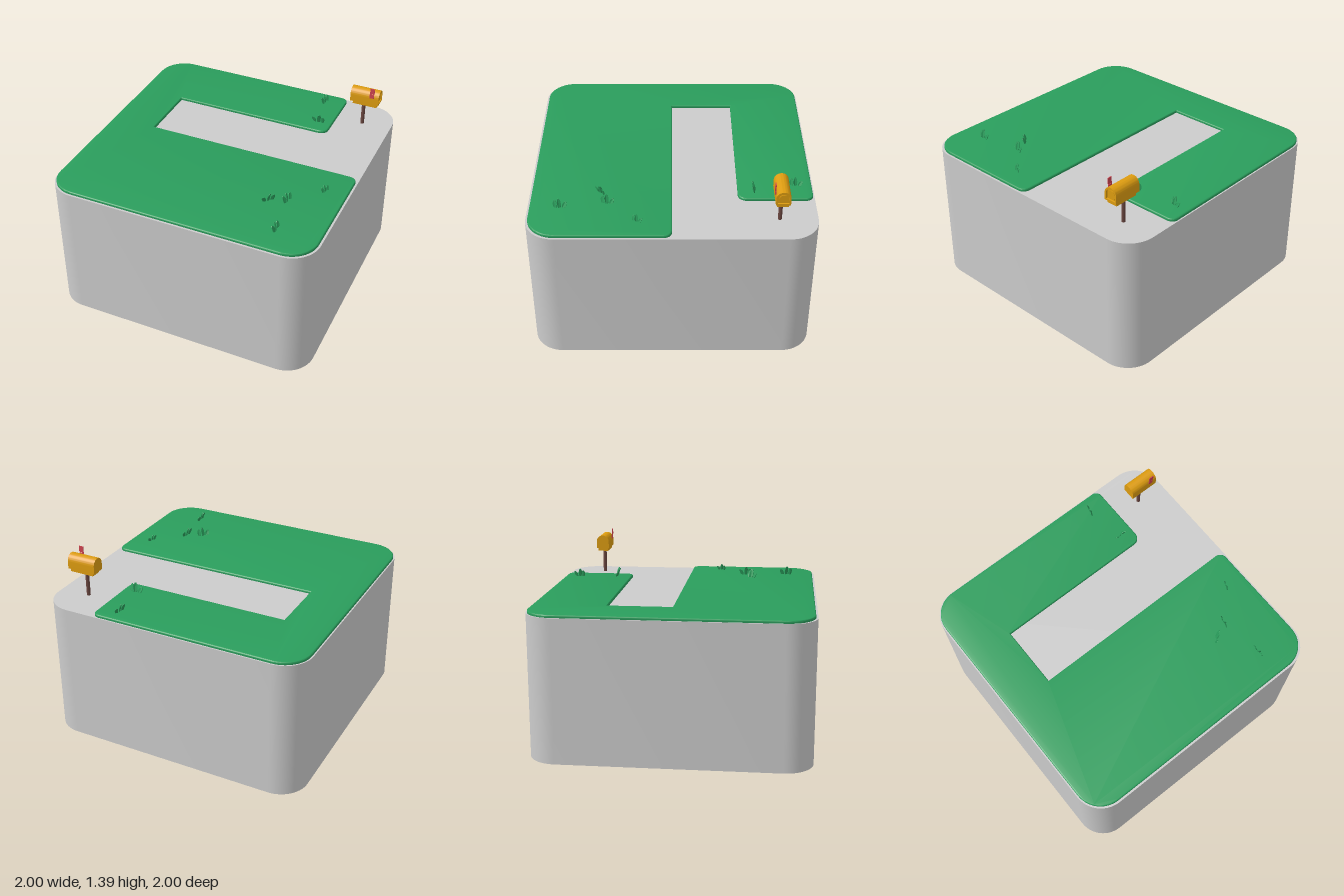
import * as THREE from 'three';
import { toCreasedNormals } from 'three/addons/utils/BufferGeometryUtils.js';

const mat = (color, side = THREE.FrontSide) => new THREE.MeshStandardMaterial({ color, side });
const GREY = mat(0xcccccc);
const GREEN = mat(0x2a9d5c);
const BLADE = mat(0x2a9d5c, THREE.DoubleSide);
const YELLOW = mat(0xdd9c10);
const BROWN = mat(0x6b4740);
const RED = mat(0xcf4450);

function add(parent, name, geometry, material, x = 0, y = 0, z = 0) {
  const mesh = new THREE.Mesh(geometry, material);
  mesh.name = name;
  mesh.position.set(x, y, z);
  parent.add(mesh);
  return mesh;
}

// Outline seen from above: corners are [x, z, radius]
function roundedOutline(corners) {
  const shape = new THREE.Shape();
  const n = corners.length;
  corners.forEach(([x, z, r], i) => {
    const p = new THREE.Vector2(x, -z);
    const toward = (c) => new THREE.Vector2(c[0], -c[1]).sub(p).setLength(r).add(p);
    const a = toward(corners[(i + n - 1) % n]);
    const b = toward(corners[(i + 1) % n]);
    if (i === 0) shape.moveTo(a.x, a.y);
    else shape.lineTo(a.x, a.y);
    if (r > 0) {
      // Cubic close to a circular arc
      const k = 0.5523;
      const c1 = a.clone().lerp(p, k), c2 = b.clone().lerp(p, k);
      shape.bezierCurveTo(c1.x, c1.y, c2.x, c2.y, b.x, b.y);
    }
  });
  shape.closePath();
  return shape;
}

// Slab standing on y = 0, extruded upwards
function slab(shape, height, bevel = 0) {
  const g = new THREE.ExtrudeGeometry(shape, {
    depth: height - bevel, curveSegments: 14, bevelEnabled: bevel > 0,
    bevelSize: bevel, bevelThickness: bevel, bevelOffset: -bevel, bevelSegments: 3,
  });
  g.rotateX(-Math.PI / 2);
  return toCreasedNormals(g, 0.6);
}

// Arched section: straight sides topped by a half circle, base at y = 0
function arch(halfWidth, sideHeight, PathType = THREE.Shape, y0 = 0) {
  const p = new PathType();
  p.moveTo(-halfWidth, y0);
  p.lineTo(halfWidth, y0);
  p.lineTo(halfWidth, sideHeight);
  p.absarc(0, sideHeight, halfWidth, 0, Math.PI, false);
  p.lineTo(-halfWidth, y0);
  return p;
}

// Extrudes a section along +x
function alongX(shape, length) {
  const g = new THREE.ExtrudeGeometry(shape, { depth: length, bevelEnabled: false, curveSegments: 12 });
  g.rotateY(Math.PI / 2);
  return toCreasedNormals(g, 0.6);
}

function createMailbox() {
  const box = new THREE.Group();
  box.name = 'mailbox';
  add(box, 'post', new THREE.CylinderGeometry(0.014, 0.014, 0.2, 16), BROWN, 0.777, 1.135, 0);
  add(box, 'boxBase', new THREE.BoxGeometry(0.186, 0.03, 0.08), YELLOW, 0.793, 1.238, 0);
  add(box, 'boxBody', alongX(arch(0.05, 0.055), 0.208), YELLOW, 0.68, 1.247, 0);
  // Raised rim around the recessed door
  const rim = arch(0.05, 0.055);
  rim.holes.push(arch(0.038, 0.055, THREE.Path, 0.012));
  add(box, 'doorRim', alongX(rim, 0.012), YELLOW, 0.888, 1.247, 0);
  add(box, 'door', alongX(arch(0.028, 0.032), 0.005), YELLOW, 0.888, 1.266, 0);
  // Flag on the front side
  add(box, 'flagStem', new THREE.BoxGeometry(0.012, 0.08, 0.006), RED, 0.839, 1.345, 0.053);
  add(box, 'flagPivot', new THREE.BoxGeometry(0.034, 0.03, 0.006), RED, 0.847, 1.322, 0.052);
  add(box, 'flag', new THREE.BoxGeometry(0.034, 0.045, 0.006), RED, 0.85, 1.365, 0.053);
  box.position.z = -0.735;
  return box;
}

// Leaf-shaped blade that bends towards +z as it rises
function bladeGeometry(height, width, bend) {
  const s = new THREE.Shape();
  s.moveTo(-width * 0.25, 0);
  s.bezierCurveTo(-width * 0.75, height * 0.5, -width * 0.5, height, 0, height);
  s.bezierCurveTo(width * 0.5, height, width * 0.75, height * 0.5, width * 0.25, 0);
  const g = new THREE.ExtrudeGeometry(s, { depth: 0.005, bevelEnabled: false, curveSegments: 8 });
  const p = g.attributes.position;
  for (let i = 0; i < p.count; i++) {
    const t = p.getY(i) / height;
    p.setZ(i, p.getZ(i) - 0.0025 + bend * t * t);
  }
  g.computeVertexNormals();
  return g;
}

function createTuft(x, z, angle, size) {
  const tuft = new THREE.Group();
  tuft.name = 'grassTuft';
  // [offset along row, offset across, height, turn, lean]
  const blades = [[-0.026, -0.004, 0.05, -0.5, 0.25], [0, 0, 0.072, 0.3, 0], [0.025, 0.004, 0.06, -0.3, -0.22]];
  for (const [u, v, h, turn, lean] of blades) {
    const blade = add(tuft, 'grassBlade', bladeGeometry(h, 0.026, 0.018), BLADE, u, 0, v);
    blade.rotation.set(0, turn, lean, 'YXZ');
  }
  tuft.position.set(x, 1.053, z);
  tuft.rotation.y = angle;
  tuft.scale.setScalar(size);
  return tuft;
}

export function createModel() {
  const model = new THREE.Group();
  model.name = 'gardenPlot';

  // Grey block with rounded vertical edges
  const block = roundedOutline([[-1, 1, 0.21], [1, 1, 0.21], [1, -1, 0.21], [-1, -1, 0.21]]);
  add(model, 'groundBlock', slab(block, 1.04), GREY);

  // Lawn wrapped around the path
  const lawn = roundedOutline([
    [-0.99, 0.985, 0.2], [0.985, 0.985, 0.2], [0.985, 0, 0.055], [-0.645, 0, 0],
    [-0.645, -0.462, 0], [0.577, -0.462, 0.06], [0.577, -0.99, 0.05], [-0.99, -0.99, 0.2],
  ]);
  add(model, 'lawn', slab(lawn, 0.02, 0.008), GREEN, 0, 1.04, 0);

  model.add(createMailbox());

  // Grass tufts: [x, z, turn, size]
  const tufts = [
    [0.425, -0.875, -1.6, 0.95], [0.475, -0.58, 0.2, 1.05], [0.83, 0.24, -1.75, 0.78],
    [0.63, 0.45, -1.6, 1], [0.505, 0.5, 0.95, 1], [0.678, 0.775, -1.4, 1],
  ];
  for (const t of tufts) model.add(createTuft(...t));
  return model;
}
